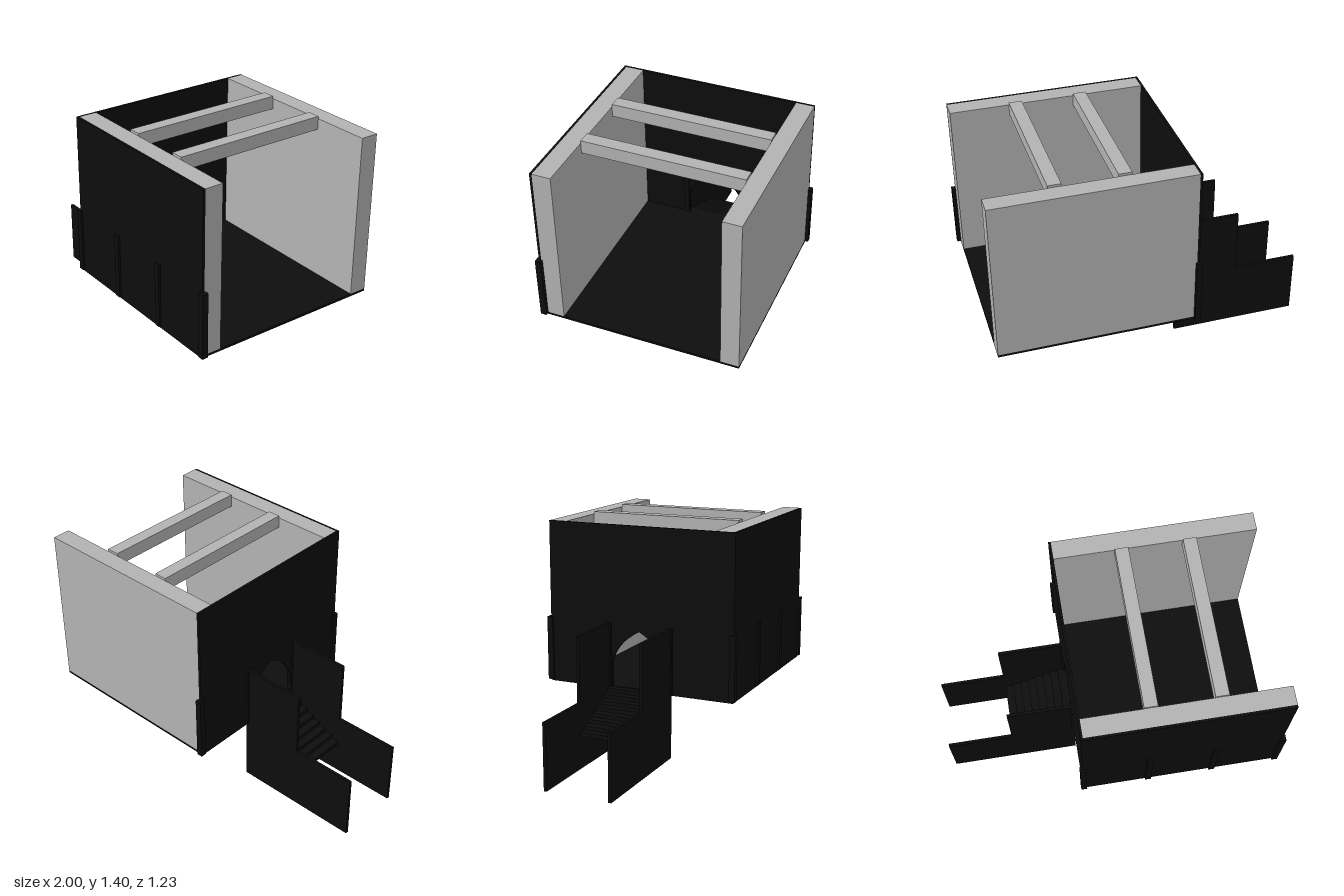
import * as THREE from 'three';

export function createModel() {
  const model = new THREE.Group();
  model.name = 'entranceHall';
  const black = new THREE.MeshStandardMaterial({ name: 'black panel', color: 0x0d0d0d });
  const grey = new THREE.MeshStandardMaterial({ name: 'grey board', color: 0xb3b3b3 });

  const add = (name, geometry, material) => {
    const mesh = new THREE.Mesh(geometry, material);
    mesh.name = name;
    model.add(mesh);
    return mesh;
  };
  // Box given by its limits on each axis
  const box = (name, material, [x0, x1], [y0, y1], [z0, z1]) => {
    const mesh = add(name, new THREE.BoxGeometry(x1 - x0, y1 - y0, z1 - z0), material);
    mesh.position.set((x0 + x1) / 2, (y0 + y1) / 2, (z0 + z1) / 2);
    return mesh;
  };
  const extrude = (shape, depth) =>
    new THREE.ExtrudeGeometry(shape, { depth, bevelEnabled: false, curveSegments: 16 });
  const polygon = (points) => new THREE.Shape(points.map(([x, y]) => new THREE.Vector2(x, y)));

  // Floor and long walls
  box('floor', black, [-0.215, 0.975], [0.39, 0.405], [-0.595, 0.595]);
  box('backWall', grey, [-0.2, 0.975], [0.405, 1.385], [-0.595, -0.485]);
  box('frontWall', grey, [-0.2, 0.975], [0.405, 1.385], [0.475, 0.585]);
  box('frontPanel', black, [-0.215, 0.975], [0.39, 1.385], [0.585, 0.6]);

  // Ceiling beams
  for (const x of [0.19, 0.583]) {
    box('ceilingBeam', grey, [x - 0.039, x + 0.039], [1.32, 1.4], [-0.485, 0.475]);
  }

  // End wall with a pointed doorway
  const wall = polygon([[-0.595, 0.405], [-0.178, 0.405], [-0.178, 0.53]]);
  wall.quadraticCurveTo(-0.168, 0.665, 0, 0.755);
  wall.quadraticCurveTo(0.168, 0.665, 0.178, 0.53);
  wall.lineTo(0.178, 0.405);
  wall.lineTo(0.595, 0.405);
  wall.lineTo(0.595, 1.385);
  wall.lineTo(-0.595, 1.385);
  const doorWall = add('doorWall', extrude(wall, 0.015), black);
  doorWall.rotation.y = Math.PI / 2;
  doorWall.position.x = -0.215;

  // Pilasters along the front, at the back corner and beside the doorway
  const pilaster = (x, z) =>
    box('pilaster', black, [x - 0.018, x + 0.018], [0.4, 0.795], [z - 0.018, z + 0.018]);
  for (const x of [-0.21, 0.187, 0.583, 0.98]) pilaster(x, 0.595);
  for (const z of [-0.597, -0.2, 0.2]) pilaster(-0.21, z);

  // Stepped side panels of the stair
  const side = polygon([[-1, 0], [-0.21, 0], [-0.21, 0.795], [-0.605, 0.795], [-0.605, 0.4], [-1, 0.4]]);
  for (const z of [-0.2, 0.2]) {
    add('stairSide', extrude(side, 0.018), black).position.z = z - 0.009;
  }

  // Flight of steps with a flat underside
  const steps = 8, run = 0.395 / steps, rise = 0.2 / steps;
  const profile = [[-0.21, 0.2], [-0.21, 0.4]];
  for (let i = 0; i < steps; i++) {
    const x = -0.21 - (i + 1) * run;
    profile.push([x, 0.4 - i * rise], [x, 0.4 - (i + 1) * rise]);
  }
  add('steps', extrude(polygon(profile.reverse()), 0.382), black).position.z = -0.191;

  return model;
}
